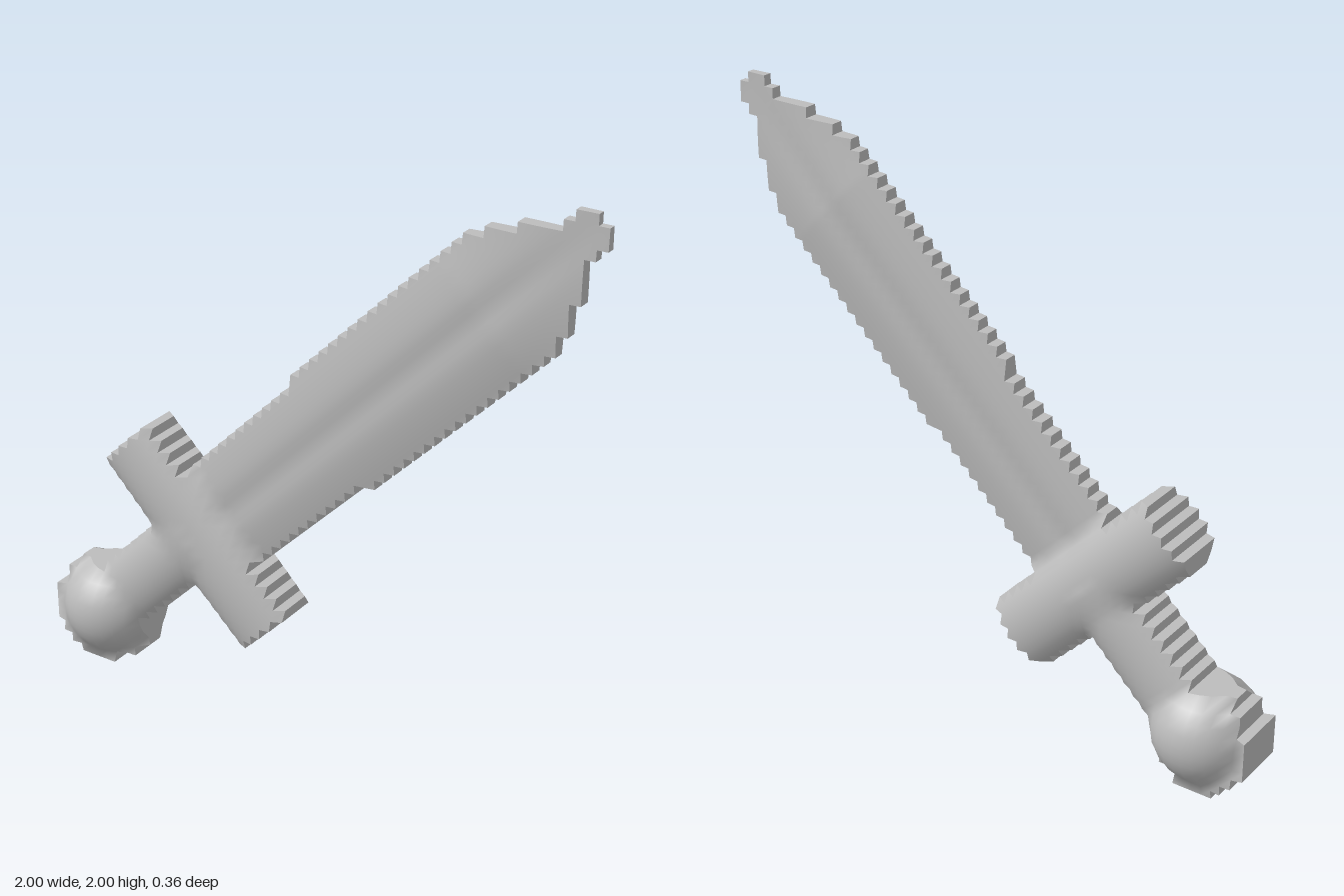
import * as THREE from 'three';

const N = 57, CELL = 2 / N;
const POMMEL = [-0.815, 0.185];

// Sword axes: u runs along the blade to the tip, v across it
const toUV = (x, y) => [(x + y - 1) * Math.SQRT1_2, (y - 1 - x) * Math.SQRT1_2];

// Half width of the blade along u
const BLADE = [[-0.6, 0.18], [0.95, 0.22], [1.05, 0.19], [1.145, 0.14], [1.22, 0.085], [1.28, 0.062], [1.37, 0.052]];
function bladeHalfWidth(u) {
  for (let k = 1; k < BLADE.length; k++) {
    const [u0, w0] = BLADE[k - 1], [u1, w1] = BLADE[k];
    if (u >= u0 && u <= u1) return w0 + (w1 - w0) * (u - u0) / (u1 - u0);
  }
  return -1;
}

// Which part covers a point of the silhouette, if any
function partAt(x, y) {
  const [u, v] = toUV(x, y), a = Math.abs(v);
  if (Math.hypot(x - POMMEL[0], y - POMMEL[1]) < 0.181) return 'pommel';
  if (Math.abs(u + 0.58) < 0.115 && a < 0.395) return 'guard';
  if (u > -1.2 && u < -0.6 && a < 0.105) return 'handle';
  if (u > -0.5 && a < bladeHalfWidth(u)) return 'blade';
  return null;
}

const round = t => Math.sqrt(Math.max(0, 1 - t * t));
function smoothMax(a, b, k = 0.03) {
  const h = Math.max(k - Math.abs(a - b), 0) / k;
  return Math.max(a, b) + h * h * k * 0.25;
}

// Half thickness of the sword at a point
function thickness(x, y) {
  const [u, v] = toUV(x, y);
  // blade with a shallow central groove, thinning to the tip
  const taper = 1 - 0.8 * THREE.MathUtils.clamp((u - 0.88) / 0.49, 0, 1);
  const section = 0.02 + 0.033 * Math.max(0, 1 - (v / 0.23) ** 2) - 0.009 * Math.exp(-((v / 0.05) ** 2));
  let h = section * taper;
  // rounded guard
  if (Math.abs(v) < 0.5) h = smoothMax(h, (0.12 - 0.05 * v * v) * round((u + 0.58) / 0.155));
  // rounded handle
  if (u < -0.57) h = smoothMax(h, 0.115 * round(v / 0.155));
  // ball pommel on a thick rim
  const r = Math.hypot(x - POMMEL[0], y - POMMEL[1]);
  if (r < 0.25) h = smoothMax(h, Math.max(0.183 * round(r / 0.183), u < -1.14 ? 0.07 : 0));
  return h;
}

// Grid corner on the front (s = 1) or back (s = -1), with its smooth normal
function corner(i, j, s) {
  const x = -1 + i * CELL, y = j * CELL, e = CELL * 0.6;
  // the pommel rim flares at its outermost corners
  const h = i === 0 || j === 0 ? 0.1 : thickness(x, y);
  const n = new THREE.Vector3(
    (thickness(x - e, y) - thickness(x + e, y)) / (2 * e),
    (thickness(x, y - e) - thickness(x, y + e)) / (2 * e), s).normalize();
  return { p: [x, y, s * h], n: n.toArray() };
}

function buildPart(name, material) {
  const pos = [], nor = [];
  const quad = (q, flat) => {
    for (const k of [0, 1, 2, 0, 2, 3]) {
      pos.push(...q[k].p);
      nor.push(...(flat || q[k].n));
    }
  };
  const owner = (i, j) => partAt(-1 + (i + 0.5) * CELL, (j + 0.5) * CELL);
  for (let i = 0; i < N; i++) for (let j = 0; j < N; j++) {
    if (owner(i, j) !== name) continue;
    const ring = [[i, j], [i + 1, j], [i + 1, j + 1], [i, j + 1]];
    const front = ring.map(([a, b]) => corner(a, b, 1));
    const back = ring.map(([a, b]) => corner(a, b, -1));
    quad(front);
    quad([...back].reverse());
    // stepped side walls where the silhouette ends
    [[0, -1], [1, 0], [0, 1], [-1, 0]].forEach(([dx, dy], k) => {
      if (owner(i + dx, j + dy)) return;
      const m = (k + 1) % 4;
      quad([back[k], back[m], front[m], front[k]], [dx, dy, 0]);
    });
  }
  const geometry = new THREE.BufferGeometry();
  geometry.setAttribute('position', new THREE.Float32BufferAttribute(pos, 3));
  geometry.setAttribute('normal', new THREE.Float32BufferAttribute(nor, 3));
  const mesh = new THREE.Mesh(geometry, material);
  mesh.name = name;
  return mesh;
}

export function createModel() {
  const grey = new THREE.MeshStandardMaterial({ color: 0xbcbcbc });
  grey.name = 'plain grey';
  const sword = new THREE.Group();
  sword.name = 'sword';
  for (const name of ['blade', 'guard', 'handle', 'pommel']) sword.add(buildPart(name, grey));
  return sword;
}
